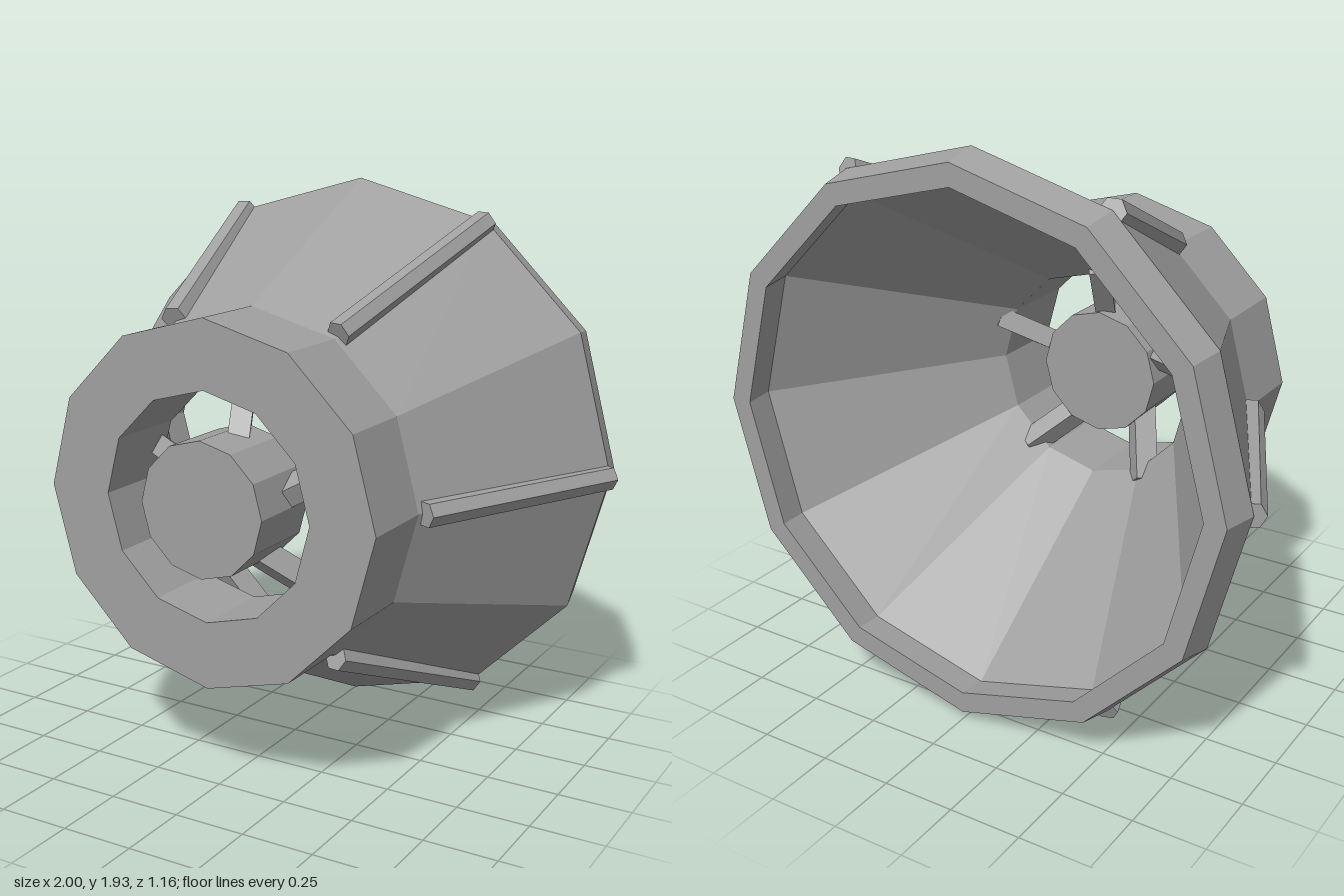
import * as THREE from 'three';

// Give a geometry hard facets
function facet(geo) {
  const g = geo.index ? geo.toNonIndexed() : geo;
  g.computeVertexNormals();
  return g;
}

// Lathe a [radius, z] profile around the z axis with 12 sides
function ring(profile) {
  const pts = profile.map(([r, z]) => new THREE.Vector2(r, z));
  return facet(new THREE.LatheGeometry(pts, 12).rotateX(Math.PI / 2));
}

export function createModel() {
  const model = new THREE.Group();
  const grey = new THREE.MeshStandardMaterial({ color: 0xa0a0a0 });
  grey.name = 'grey metal';

  const nozzle = new THREE.Group();
  nozzle.name = 'nozzle';
  nozzle.position.y = 0.967;
  model.add(nozzle);

  const add = (name, geo, parent = nozzle) => {
    const mesh = new THREE.Mesh(geo, grey);
    mesh.name = name;
    parent.add(mesh);
    return mesh;
  };

  // Flared bell with collar, rear lip and hollow inside
  add('bell', ring([
    [0.865, -0.58], [0.94, -0.58], [0.967, -0.46], [0.604, 0.275], [0.604, 0.56],
    [0.378, 0.56], [0.378, 0.27], [0.88, -0.47], [0.865, -0.58],
  ]));

  // Central hub
  const hub = new THREE.CylinderGeometry(0.225, 0.225, 0.28, 12).rotateX(Math.PI / 2);
  add('hub', facet(hub.translate(0, 0, 0.445)));

  // Six ribs lying along the flare
  const ribStart = new THREE.Vector3(0.62, 0, 0.265);
  const ribEnd = new THREE.Vector3(0.962, 0, -0.457);
  const ribDir = ribEnd.clone().sub(ribStart);
  const ribGeo = facet(new THREE.CylinderGeometry(0.044, 0.044, ribDir.length(), 6)
    .rotateY(Math.PI / 2) // a corner of the hexagon faces outward
    .rotateX(-Math.PI / 2)
    .rotateY(Math.atan2(-ribDir.x, -ribDir.z)));
  for (let i = 0; i < 6; i++) {
    const arm = new THREE.Group();
    arm.name = 'ribArm';
    arm.rotation.z = i * Math.PI / 3;
    nozzle.add(arm);
    add('rib', ribGeo, arm).position.copy(ribStart).lerp(ribEnd, 0.5);
  }

  // Five slanted, twisted struts holding the hub
  const strutGeo = facet(new THREE.BoxGeometry(0.3, 0.07, 0.08)
    .rotateX(0.6)
    .rotateY(0.55)
    .rotateZ(0.21));
  for (let i = 0; i < 5; i++) {
    const arm = new THREE.Group();
    arm.name = 'strutArm';
    arm.rotation.z = Math.PI / 2 + i * Math.PI * 2 / 5;
    nozzle.add(arm);
    add('strut', strutGeo, arm).position.set(0.295, 0, 0.33);
  }

  return model;
}
